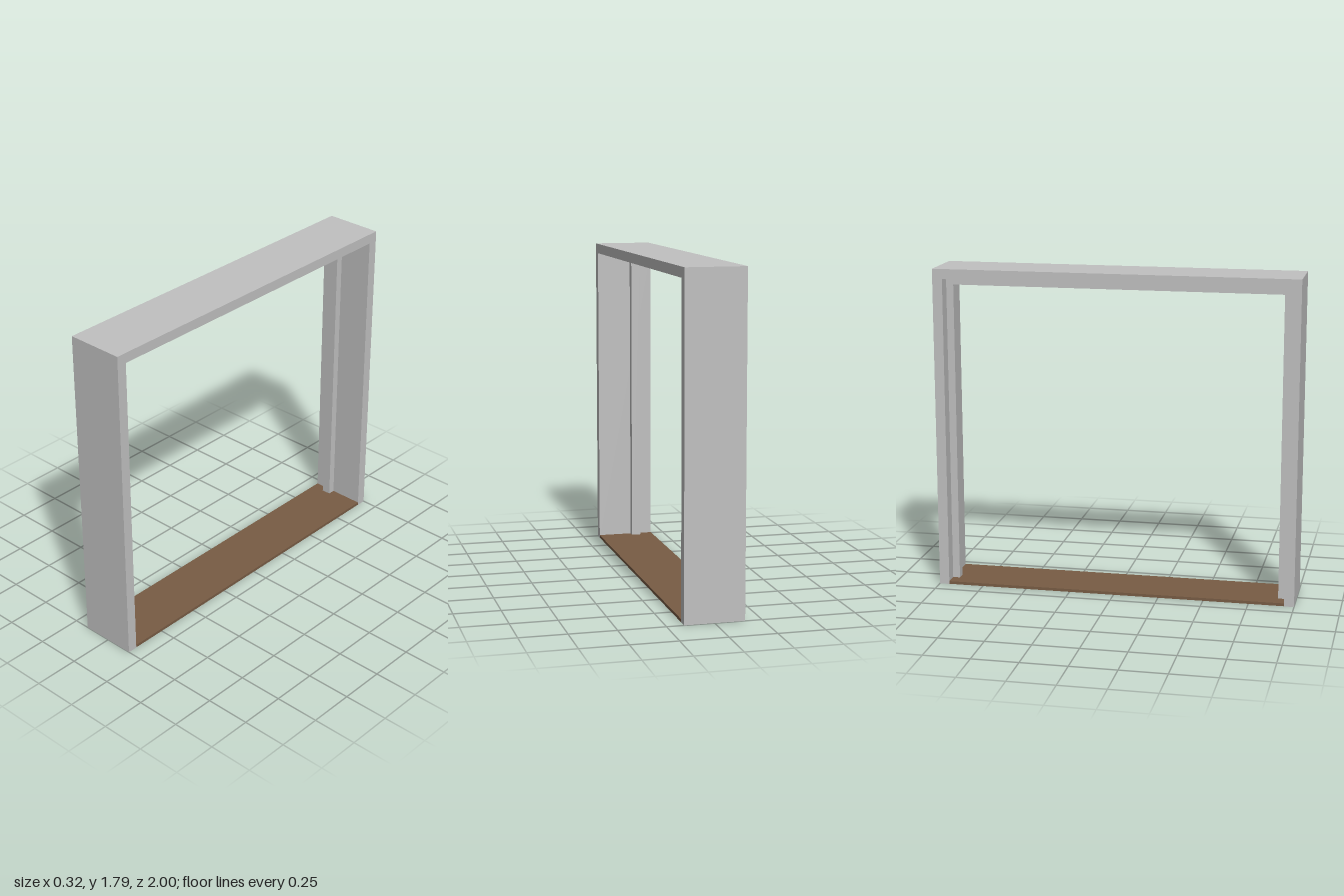
import * as THREE from 'three';

// U-shaped band (two uprights and a head) lying in the z-y plane, extruded along x
function archBand(outerHalf, outerTop, innerHalf, innerTop, x0, x1) {
  const shape = new THREE.Shape([
    [-outerHalf, 0], [-innerHalf, 0], [-innerHalf, innerTop], [innerHalf, innerTop],
    [innerHalf, 0], [outerHalf, 0], [outerHalf, outerTop], [-outerHalf, outerTop],
  ].map(([a, b]) => new THREE.Vector2(a, b)));
  const geometry = new THREE.ExtrudeGeometry(shape, { depth: x1 - x0, bevelEnabled: false });
  geometry.rotateY(Math.PI / 2);
  geometry.translate(x0, 0, 0);
  return geometry;
}

export function createModel() {
  const paint = new THREE.MeshStandardMaterial({ color: 0xc0c0c0 });
  paint.name = 'light grey paint';
  const wood = new THREE.MeshStandardMaterial({ color: 0x785c44 });
  wood.name = 'brown wood';

  const group = new THREE.Group();
  group.name = 'doorFrame';
  const add = (name, geometry, material) => {
    const mesh = new THREE.Mesh(geometry, material);
    mesh.name = name;
    group.add(mesh);
    return mesh;
  };

  // Jambs and head
  add('frame', archBand(1, 1.787, 0.945, 1.732, -0.16, 0.16), paint);

  // Door stop running round the inside
  add('doorStop', archBand(0.945, 1.732, 0.905, 1.693, -0.085, -0.033), paint);

  // Threshold between the jambs, just clear of the stop's feet
  add('threshold', new THREE.BoxGeometry(0.32, 0.016, 1.89), wood).position.y = 0.009;

  return group;
}
